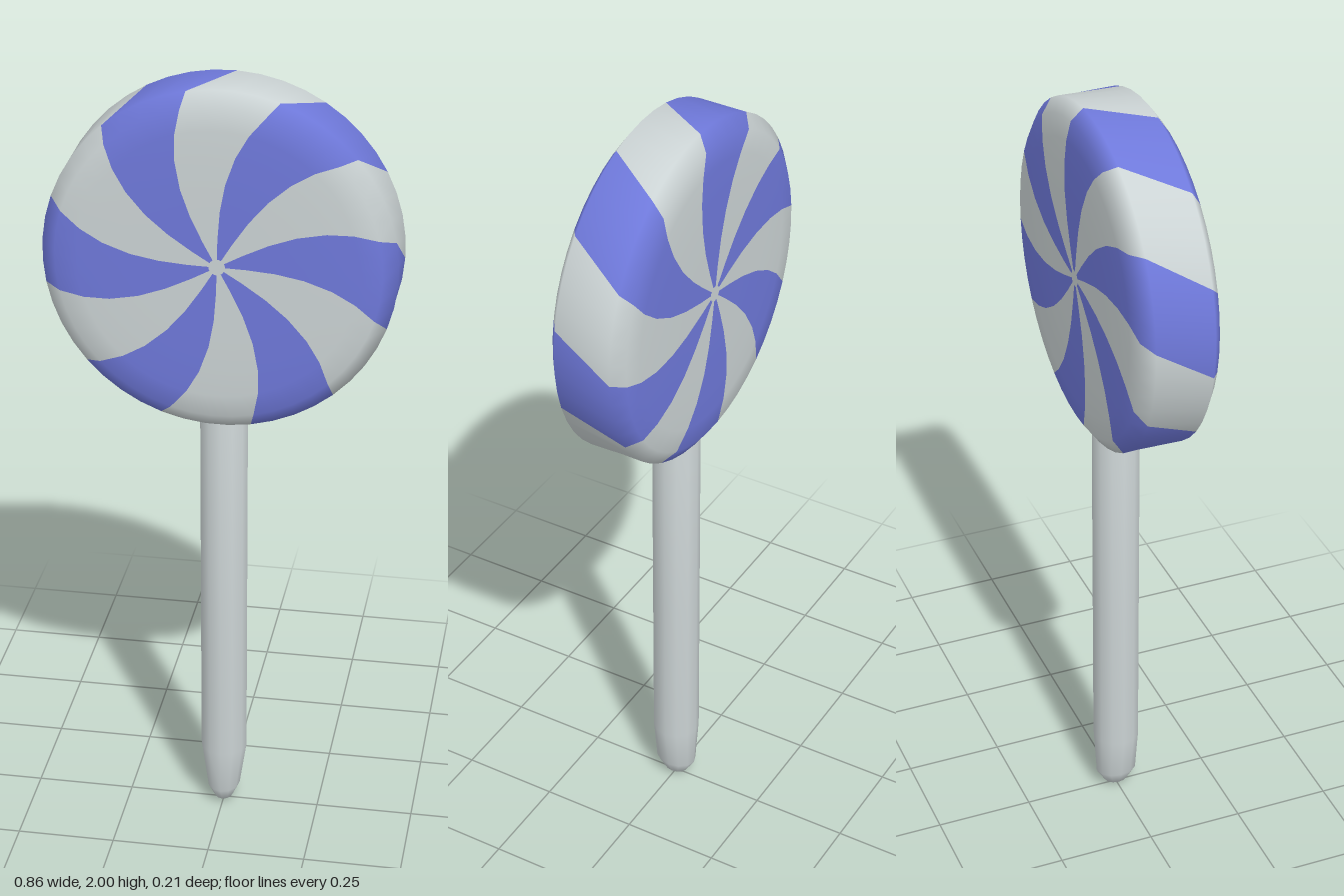
import * as THREE from 'three';

const white = new THREE.MeshStandardMaterial({ color: 0xccd4d5 });
white.name = 'sugar white';
const blue = new THREE.MeshStandardMaterial({ color: 0x6f79db });
blue.name = 'candy blue';

// Candy disc: rings of [radius, z, twist in degrees] from front centre to back centre,
// with twelve bands around it that spiral along the rings
function candyGeometry() {
  const half = [[0, 0.105], [0.02, 0.105], [0.07, 0.105], [0.14, 0.105], [0.21, 0.105],
    [0.28, 0.104], [0.34, 0.102], [0.395, 0.098], [0.43, 0.073]]
    .map(([r, z]) => [r, z, r > 0.4 ? 6.5 : 9 + 16 * (1 - (r / 0.395) ** 2)]);
  const back = half.map(([r, z, t]) => [r, -z, -t]).reverse();
  const rings = [...half, ...back];

  const perBand = 4, columns = 12 * perBand;
  const positions = [];
  for (const [r, z, twist] of rings) {
    for (let j = 0; j < columns; j++) {
      // the first band is centred on -11 degrees
      const a = THREE.MathUtils.degToRad(-26 + twist + (j * 360) / columns);
      positions.push(r * Math.cos(a), r * Math.sin(a), z);
    }
  }

  const faces = [[], []]; // blue, white
  for (let i = 0; i < rings.length - 1; i++) {
    const hub = i === 0 || i === rings.length - 2;
    for (let j = 0; j < columns; j++) {
      const k = (j + 1) % columns;
      const a = i * columns + j, b = a + columns;
      const d = i * columns + k, c = d + columns;
      const list = faces[hub ? 1 : Math.floor(j / perBand) % 2];
      if (i < rings.length - 2) list.push(a, b, c);
      if (i > 0) list.push(a, c, d);
    }
  }

  const geometry = new THREE.BufferGeometry();
  geometry.setAttribute('position', new THREE.Float32BufferAttribute(positions, 3));
  geometry.setIndex([...faces[0], ...faces[1]]);
  geometry.addGroup(0, faces[0].length, 0);
  geometry.addGroup(faces[0].length, faces[1].length, 1);
  geometry.computeVertexNormals();
  return geometry;
}

// Round stick with a tip that is pinched sideways
function stickGeometry() {
  const profile = [[0, 0], [0.024, 0.012], [0.042, 0.05], [0.06, 0.17], [0.06, 0.6], [0.06, 1.2], [0, 1.2]]
    .map(([r, y]) => new THREE.Vector2(r, y));
  const geometry = new THREE.LatheGeometry(profile, 12);
  const p = geometry.attributes.position;
  for (let i = 0; i < p.count; i++) {
    if (p.getY(i) < 0.1) p.setZ(i, p.getZ(i) * 1.3);
  }
  return geometry;
}

export function createModel() {
  const model = new THREE.Group();
  model.name = 'lollipop';

  const candy = new THREE.Mesh(candyGeometry(), [blue, white]);
  candy.name = 'swirledCandy';
  candy.position.y = 1.57;

  const stick = new THREE.Mesh(stickGeometry(), white);
  stick.name = 'stick';

  model.add(candy, stick);
  return model;
}
